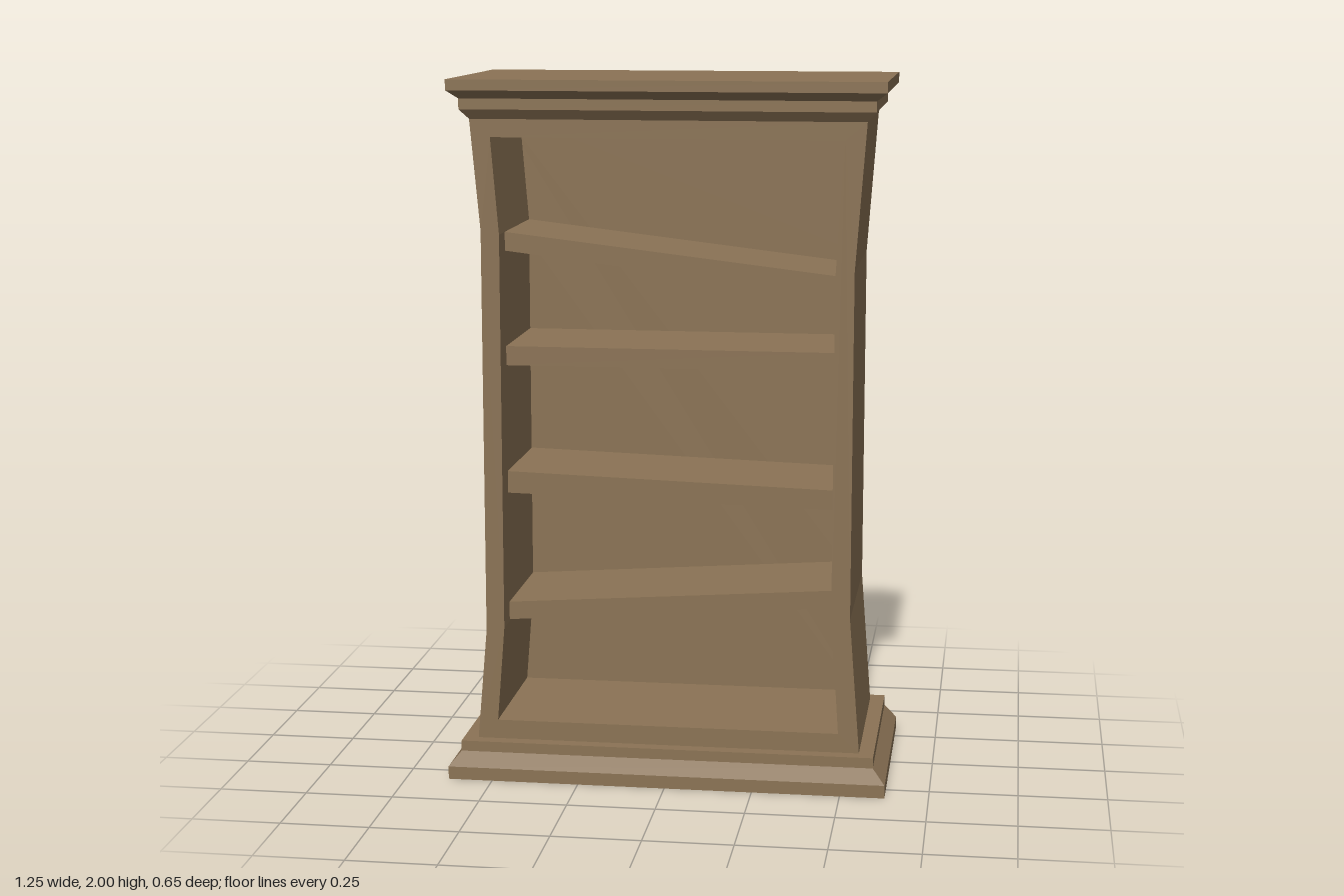
import * as THREE from 'three';

const wood = new THREE.MeshStandardMaterial({ color: 0x8b7355 });
wood.name = 'brownWood';

const FRONT = 0.267;      // half depth of the carcass
const BACK_INNER = -0.16; // inner face of the back panel
const SHELF_FRONT = 0.19; // shelves sit behind the front frame

// Slightly waisted silhouettes
const outer = [
  [-0.55, 0.11], [0.55, 0.11], [0.52, 0.5], [0.52, 1.48],
  [0.55, 1.89], [-0.55, 1.89], [-0.522, 1.58], [-0.522, 0.43],
];
const inner = [
  [-0.492, 0.165], [0.49, 0.165], [0.467, 0.51], [0.467, 1.46],
  [0.49, 1.84], [-0.492, 1.84], [-0.47, 1.57], [-0.47, 0.44],
];

const toPoints = (list) => list.map(([x, y]) => new THREE.Vector2(x, y));

// Extrudes an outline from z0 to z1
function slab(name, outline, z0, z1, hole) {
  const shape = new THREE.Shape(toPoints(outline));
  if (hole) shape.holes.push(new THREE.Path(toPoints(hole)));
  const geometry = new THREE.ExtrudeGeometry(shape, { depth: z1 - z0, bevelEnabled: false });
  geometry.translate(0, 0, z0);
  const mesh = new THREE.Mesh(geometry, wood);
  mesh.name = name;
  return mesh;
}

// Lofts rectangles [half width, half depth, y] from bottom to top
function moulding(name, sections) {
  const rings = sections.map(([x, z, y]) => [[x, y, z], [x, y, -z], [-x, y, -z], [-x, y, z]]);
  const positions = [];
  const quad = (a, b, c, d) => positions.push(...a, ...b, ...c, ...a, ...c, ...d);
  for (let r = 0; r < rings.length - 1; r++) {
    for (let i = 0; i < 4; i++) {
      const j = (i + 1) % 4;
      quad(rings[r][i], rings[r][j], rings[r + 1][j], rings[r + 1][i]);
    }
  }
  quad(...rings[rings.length - 1]);
  quad(...[...rings[0]].reverse());
  const geometry = new THREE.BufferGeometry();
  geometry.setAttribute('position', new THREE.Float32BufferAttribute(positions, 3));
  geometry.computeVertexNormals();
  const mesh = new THREE.Mesh(geometry, wood);
  mesh.name = name;
  return mesh;
}

export function createModel() {
  const model = new THREE.Group();
  model.name = 'bookcase';

  // Carcass: open frame plus a thick back
  model.add(slab('frame', outer, BACK_INNER, FRONT, inner));
  model.add(slab('backPanel', outer, -FRONT, BACK_INNER));

  // Crooked shelves: [left bottom, left top, right bottom, right top]
  const shelves = [
    [0.445, 0.497, 0.512, 0.563],
    [0.82, 0.883, 0.797, 0.853],
    [1.19, 1.245, 1.19, 1.245],
    [1.517, 1.57, 1.405, 1.46],
  ];
  shelves.forEach(([lb, lt, rb, rt], i) => {
    const outline = [[-0.472, lb], [0.469, rb], [0.469, rt], [-0.472, lt]];
    model.add(slab('shelf' + (i + 1), outline, BACK_INNER, SHELF_FRONT));
  });

  // Plinth with a sloped shoulder
  model.add(moulding('plinth', [
    [0.627, 0.325, 0], [0.627, 0.325, 0.037], [0.592, 0.305, 0.08], [0.592, 0.305, 0.11],
  ]));

  // Stepped cornice
  model.add(moulding('cornice', [
    [0.55, 0.267, 1.89], [0.575, 0.287, 1.917], [0.575, 0.287, 1.947],
    [0.605, 0.316, 1.97], [0.605, 0.316, 2],
  ]));

  return model;
}
